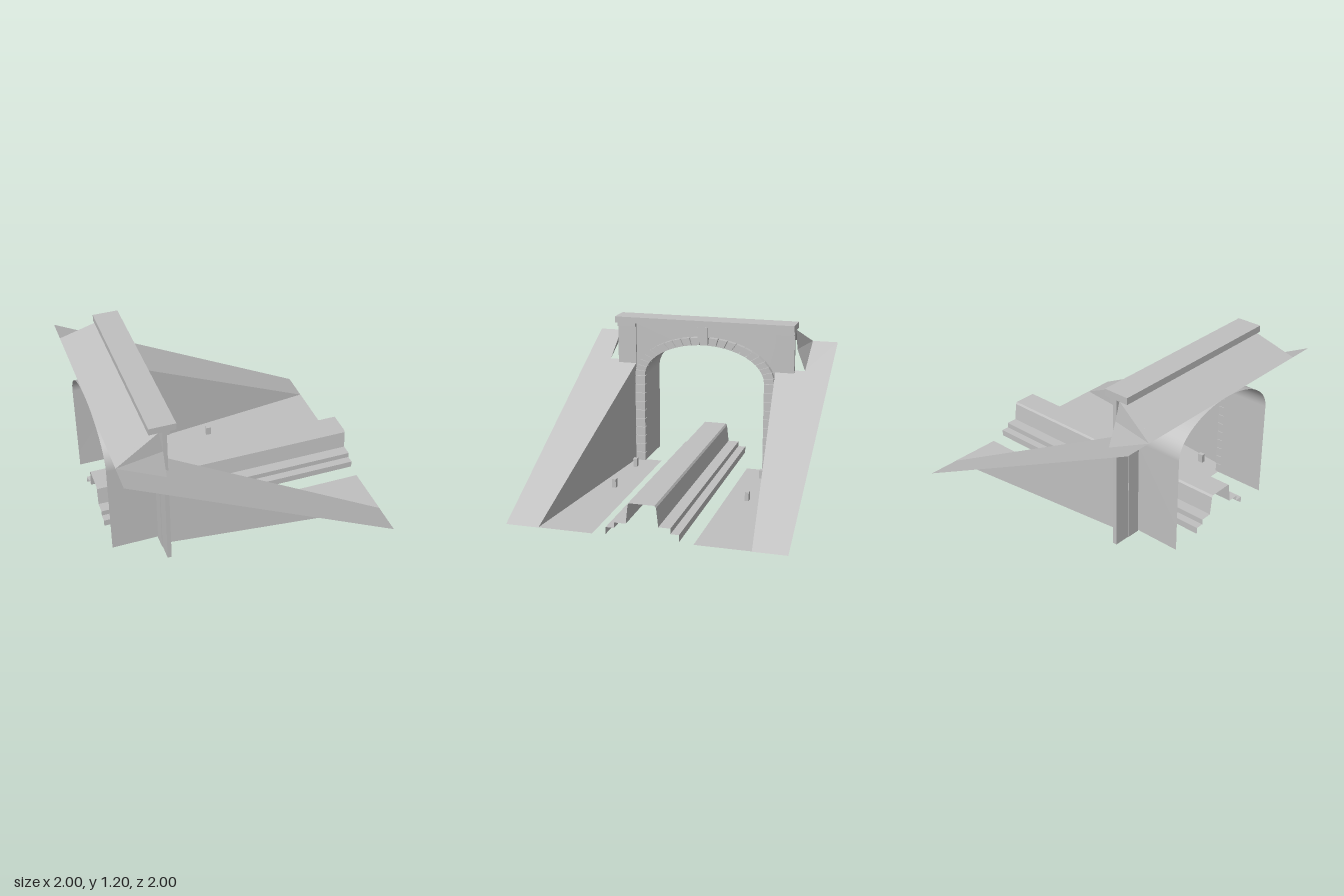
import * as THREE from 'three';

export function createModel() {
  const group = new THREE.Group();
  const concrete = new THREE.MeshStandardMaterial({ color: 0xc0c0c0, side: THREE.DoubleSide });
  concrete.name = 'concrete grey';

  const add = (name, geometry) => {
    const mesh = new THREE.Mesh(geometry, concrete);
    mesh.name = name;
    group.add(mesh);
    return mesh;
  };
  // box given by its limits
  const box = (name, x0, x1, y0, y1, z0, z1) => {
    const g = new THREE.BoxGeometry(x1 - x0, y1 - y0, z1 - z0);
    g.translate((x0 + x1) / 2, (y0 + y1) / 2, (z0 + z1) / 2);
    return add(name, g);
  };
  // thin sheet drawn in plan, its height given by x
  const sheet = (name, plan, height) => {
    const g = new THREE.ShapeGeometry(new THREE.Shape(plan.map(p => new THREE.Vector2(...p))));
    const p = g.attributes.position;
    for (let i = 0; i < p.count; i++) p.setXYZ(i, p.getX(i), height(p.getX(i)), p.getY(i));
    const flat = g.toNonIndexed();
    flat.computeVertexNormals();
    // keep the normals upward
    if (flat.attributes.normal.getY(0) < 0) {
      const q = flat.attributes.position;
      for (let i = 0; i < q.count; i += 3) {
        const a = new THREE.Vector3().fromBufferAttribute(q, i);
        const b = new THREE.Vector3().fromBufferAttribute(q, i + 1);
        q.setXYZ(i, b.x, b.y, b.z);
        q.setXYZ(i + 1, a.x, a.y, a.z);
      }
      flat.computeVertexNormals();
    }
    return add(name, flat);
  };
  // fan of flat triangles through 3D corners
  const fan = (name, pts) => {
    const v = [];
    for (let i = 1; i < pts.length - 1; i++) v.push(...pts[0], ...pts[i], ...pts[i + 1]);
    const g = new THREE.BufferGeometry();
    g.setAttribute('position', new THREE.Float32BufferAttribute(v, 3));
    g.computeVertexNormals();
    return add(name, g);
  };
  // open [z, y] profile swept along x
  const sweep = (name, profile, x0, x1, smooth) => {
    const v = [], index = [];
    profile.forEach(([z, y]) => v.push(x0, y, z, x1, y, z));
    for (let i = 0; i < profile.length - 1; i++) {
      const a = i * 2;
      index.push(a, a + 1, a + 2, a + 1, a + 3, a + 2);
    }
    let g = new THREE.BufferGeometry();
    g.setAttribute('position', new THREE.Float32BufferAttribute(v, 3));
    g.setIndex(index);
    if (!smooth) g = g.toNonIndexed();
    g.computeVertexNormals();
    return add(name, g);
  };
  // [z, y] outline given thickness along x
  const slab = (name, outline, x0, x1) => {
    const shape = new THREE.Shape(outline.map(([z, y]) => new THREE.Vector2(-z, y)));
    const g = new THREE.ExtrudeGeometry(shape, { depth: x1 - x0, bevelEnabled: false });
    g.rotateY(Math.PI / 2);
    g.translate(x0, 0, 0);
    return add(name, g);
  };

  const SPRING = 0.72;
  const arch = (a, rz, ry) => [rz * Math.cos(a), SPRING + ry * Math.sin(a)];
  const archLine = (rz, ry, n) =>
    Array.from({ length: n + 1 }, (_, i) => arch(Math.PI * i / n, rz, ry));
  const slopeY = x => (1 - x) / 2;

  // tunnel lining
  sweep('tunnelLining', [[0.49, 0], ...archLine(0.49, 0.28, 32), [-0.49, 0]], -1, -0.64, true);

  // portal wall around the opening
  slab('portalWall', [[0.6, 0], [0.6, 1.15], [-0.6, 1.15], [-0.6, 0], [-0.5, 0],
    ...archLine(0.5, 0.29, 32).reverse(), [0.5, 0]], -0.66, -0.64);
  box('coping', -0.75, -0.56, 1.15, 1.2, -0.725, 0.725);
  box('keystone', -0.58, -0.556, 1.03, 1.15, -0.04, 0.04);

  // arch stones
  const STONES = 23;
  for (let i = 0; i < STONES; i++) {
    const a = Math.PI * (i + 0.04) / STONES, b = Math.PI * (i + 0.96) / STONES;
    slab('archStone', [arch(a, 0.49, 0.28), arch(a, 0.57, 0.34),
      arch(b, 0.57, 0.34), arch(b, 0.49, 0.28)], -0.645, -0.595);
  }

  for (const s of [1, -1]) {
    const span = (name, x0, x1, y0, y1, za, zb) =>
      box(name, x0, x1, y0, y1, Math.min(s * za, s * zb), Math.max(s * za, s * zb));

    // jamb stones
    for (let i = 0; i < 10; i++)
      span('jambStone', -0.645, -0.595, i * 0.072, i * 0.072 + 0.068, 0.49, 0.57);

    // pilaster with its cap
    span('pilaster', -0.655, -0.625, 0, 1.12, 0.57, 0.72);
    span('pilasterCap', -0.655, -0.605, 1.115, 1.15, 0.57, 0.72);

    // cutting wall, verge and earth slope
    fan('cuttingWall', [[-0.64, 0, s * 0.57], [1, 0, s * 0.757], [-0.64, 0.82, s * 0.57]]);
    sheet('verge', [[-0.62, s * 0.36], [1, s * 0.36], [1, s * 0.757], [-0.62, s * 0.572]], () => 0.002);
    sheet('earthSlope', [[-1, s * 0.8], [-0.66, s * 0.8], [-0.66, s * 0.7], [-0.64, s * 0.57],
      [1, s * 0.757], [1, s], [-1, s]], slopeY);

    // flank between slope and hilltop
    fan('hillFlank', [[-1, 1, s * 0.8], [-0.66, 0.83, s * 0.8], [-0.66, 1, s * 0.735],
      [-0.68, 1.15, s * 0.72], [-0.88, 1.056, s * 0.72]]);

    // marker posts
    for (const x of [-0.43, 0.08]) span('markerPost', x - 0.02, x + 0.02, 0, 0.07, 0.505, 0.535);
  }

  // hilltop behind the coping
  sheet('hilltop', [[-1, -0.8], [-0.88, -0.72], [-0.66, -0.72], [-0.66, 0.72], [-0.88, 0.72], [-1, 0.8]],
    x => 1 + (x + 1) * 0.47);

  // stepped track beam
  const half = [[0.26, 0.01], [0.26, 0.06], [0.2, 0.06], [0.2, 0.1], [0.115, 0.1], [0.1, 0.235], [0.09, 0.25]];
  const mirrored = half.map(([z, y]) => [-z, y]).reverse();
  sweep('trackBeam', [...half, ...mirrored], -1, 1, false);

  return group;
}
